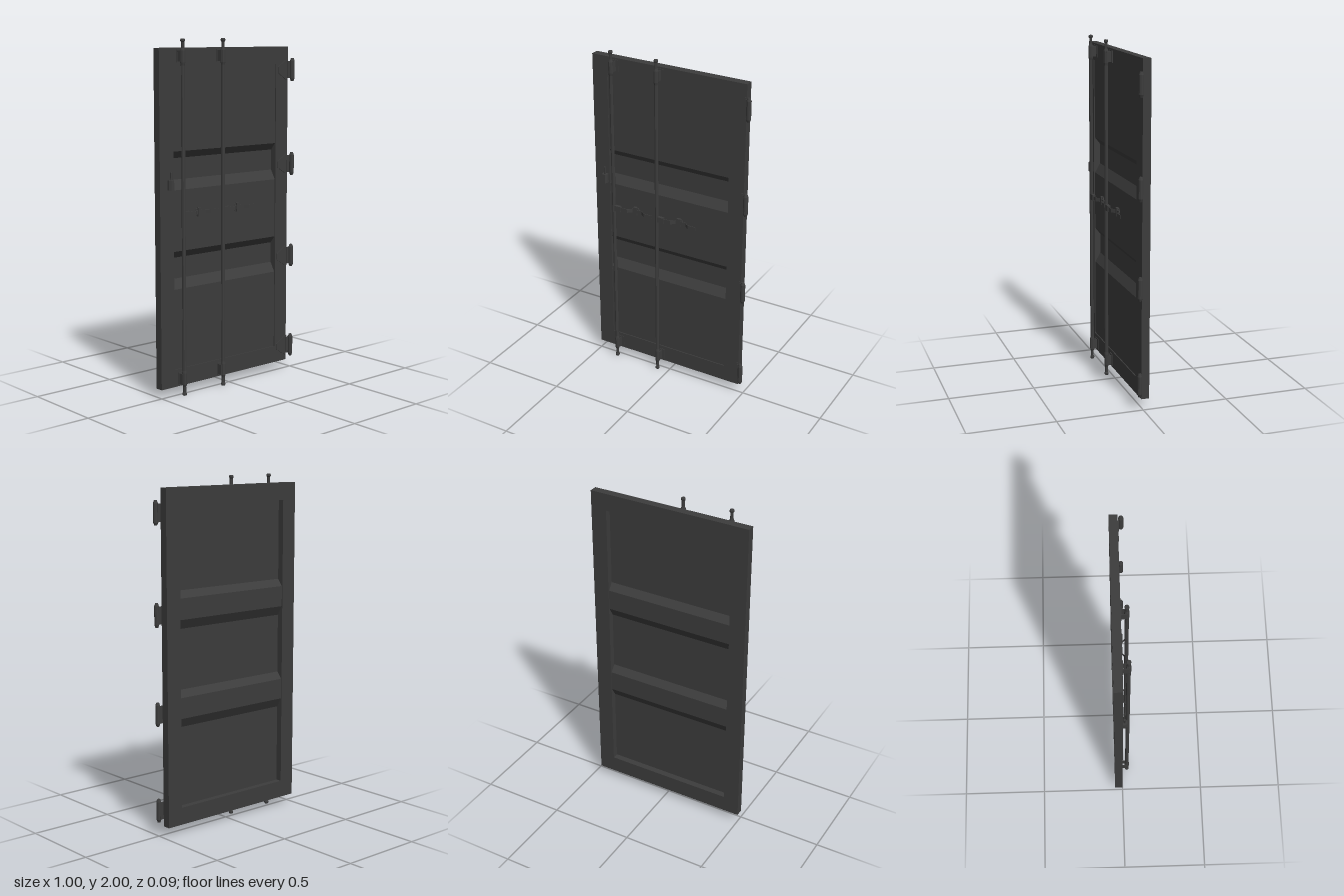
import * as THREE from 'three';

const steel = new THREE.MeshStandardMaterial({ color: 0x3c3c3c, flatShading: true, side: THREE.DoubleSide });

function add(parent, name, geometry, x = 0, y = 0, z = 0) {
  const mesh = new THREE.Mesh(geometry, steel);
  mesh.name = name;
  mesh.position.set(x, y, z);
  parent.add(mesh);
  return mesh;
}

const box = (w, h, d) => new THREE.BoxGeometry(w, h, d);
const shapeOf = (pts) => new THREE.Shape(pts.map(([x, y]) => new THREE.Vector2(x, y)));
const extrude = (shape, depth) => new THREE.ExtrudeGeometry(shape, { depth, bevelEnabled: false });
const lathe = (pts, sides) => new THREE.LatheGeometry(pts.map(([r, y]) => new THREE.Vector2(r, y)), sides);

// Closed outline of a thin sheet that follows a path
const sheet = (path, dx, dy) => shapeOf([...path, ...path.map(([x, y]) => [x + dx, y + dy]).reverse()]);

// Leaf with a trapezoid plate, a neck and a chamfered barrel
function createHinge(y) {
  const hinge = new THREE.Group();
  hinge.name = 'hinge';
  hinge.position.y = y;
  const leaf = shapeOf([[0.385, -0.018], [0.452, -0.06], [0.462, -0.06], [0.462, 0.06], [0.452, 0.06], [0.385, 0.018]]);
  add(hinge, 'hingeLeaf', extrude(leaf, 0.004));
  add(hinge, 'hingeNeck', box(0.026, 0.1, 0.006), 0.472, 0, 0.005);
  add(hinge, 'hingeBarrel', lathe([[0, -0.068], [0.008, -0.068], [0.014, -0.052], [0.014, 0.052], [0.008, 0.068], [0, 0.068]], 10), 0.486, 0, 0.017);
  return hinge;
}

// Upright locking rod with end cams, guide brackets, handle and catch
function createLockRod(x) {
  const lock = new THREE.Group();
  lock.name = 'lockRod';
  lock.position.x = x;
  const end = [[0, 0], [0.01, 0], [0.013, 0.005], [0.013, 0.013], [0.009, 0.018], [0.009, 0.05], [0.014, 0.065], [0.014, 0.13], [0.011, 0.145]];
  const profile = [...end, ...end.map(([r, y]) => [r, 2 - y]).reverse()];
  add(lock, 'rod', lathe(profile, 8), 0, 0, 0.031);

  // Guide brackets on the frame
  for (const y of [0.095, 1.905]) {
    add(lock, 'bracketPlate', box(0.052, 0.07, 0.004), 0.004, y, 0.002);
    for (const side of [-1, 1]) add(lock, 'bracketCheek', box(0.004, 0.06, 0.03), side * 0.014, y, 0.016);
  }

  // Handle hub and cranked flat handle
  add(lock, 'handleHub', box(0.052, 0.034, 0.018), 0.02, 1.035, 0.03);
  const path = [[0.04, 0.029], [0.09, 0.029], [0.113, 0.008], [0.177, 0.008], [0.202, 0.029], [0.255, 0.029]];
  const handle = extrude(sheet(path, 0, 0.004), 0.022);
  handle.rotateX(-Math.PI / 2);
  handle.scale(1, 1, -1);
  const index = handle.index;
  if (!index) {
    // Restore the corner order after mirroring
    const p = handle.attributes.position;
    const a = new THREE.Vector3(), b = new THREE.Vector3();
    for (let i = 0; i < p.count; i += 3) {
      a.fromBufferAttribute(p, i);
      b.fromBufferAttribute(p, i + 1);
      p.setXYZ(i, b.x, b.y, b.z);
      p.setXYZ(i + 1, a.x, a.y, a.z);
    }
    handle.computeVertexNormals();
  }
  add(lock, 'handle', handle, 0, 1.024, 0);

  // Catch that holds the handle
  const plate = new THREE.CylinderGeometry(0.026, 0.026, 0.006, 8);
  plate.rotateX(Math.PI / 2);
  add(lock, 'catchPlate', plate, 0.132, 1.035, 0.003);
  add(lock, 'catch', box(0.022, 0.05, 0.014), 0.132, 1.035, 0.008);
  return lock;
}

export function createModel() {
  const door = new THREE.Group();
  door.name = 'containerDoor';

  // Frame with a rectangular opening
  const outline = shapeOf([[-0.5, 0.05], [0.465, 0.05], [0.465, 1.95], [-0.5, 1.95]]);
  outline.holes.push(new THREE.Path([[-0.405, 0.15], [-0.405, 1.85], [0.37, 1.85], [0.37, 0.15]].map(([x, y]) => new THREE.Vector2(x, y))));
  add(door, 'frame', extrude(outline, 0.047), 0, 0, -0.047);

  // Pressed panel with two grooves
  const front = 0.006, back = 0.038;
  const path = [[front, 0.15]];
  for (const y of [0.61, 1.17]) path.push([front, y], [back, y + 0.055], [back, y + 0.175], [front, y + 0.215]);
  path.push([front, 1.85]);
  const panel = extrude(sheet(path, 0.004, 0), 0.775);
  panel.rotateY(Math.PI / 2);
  add(door, 'panel', panel, -0.405, 0, 0);

  for (const y of [0.143, 0.7, 1.257, 1.815]) door.add(createHinge(y));
  for (const x of [-0.36, -0.07]) door.add(createLockRod(x));

  // Small padlock housing on the frame
  const housing = shapeOf([[-0.017, 0], [0.017, 0], [0.017, 0.014], [0.009, 0.026], [-0.009, 0.026], [-0.017, 0.014]]);
  const body = extrude(housing, 0.055);
  body.rotateX(Math.PI / 2);
  body.rotateZ(Math.PI);
  body.rotateY(0);
  add(door, 'latchBody', body, -0.43, 1.175, 0);
  add(door, 'latchStem', new THREE.CylinderGeometry(0.006, 0.006, 0.05, 6), -0.43, 1.25, 0.012);
  return door;
}
